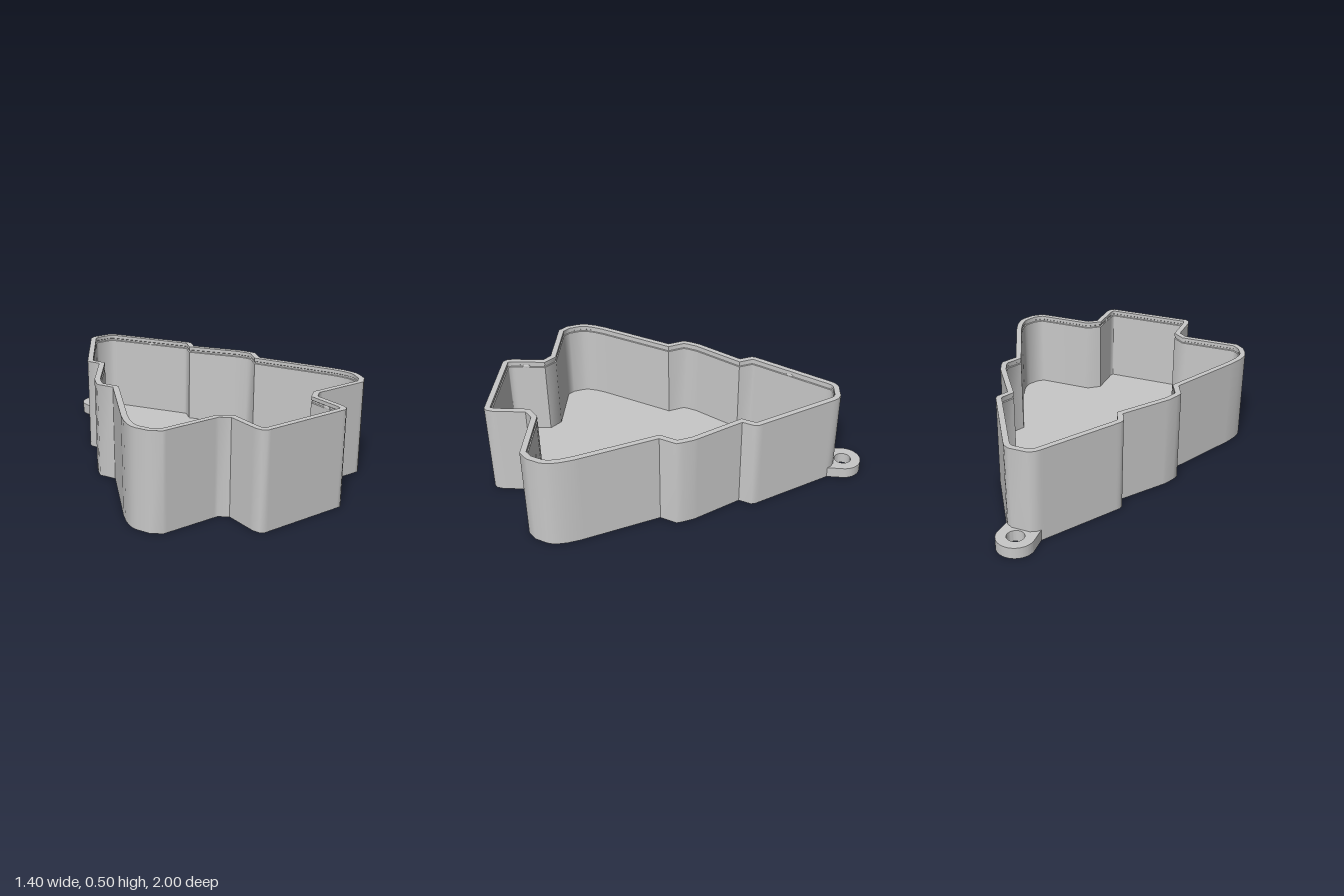
import * as THREE from 'three';
import { mergeGeometries, toCreasedNormals } from 'three/addons/utils/BufferGeometryUtils.js';

const HEIGHT = 0.5, FLOOR = 0.06, WALL = 0.03, CREASE = 0.8;

// Right half of the tree outline, trunk to tip, as [x, -z]
const HALF = [
  [0.238, -1], [0.257, -0.986], [0.267, -0.95], [0.267, -0.78], [0.312, -0.744],
  [0.62, -0.744], [0.668, -0.703], [0.696, -0.64], [0.702, -0.61], [0.70, -0.58], [0.69, -0.535], [0.667, -0.475],
  [0.477, -0.085], [0.517, 0], [0.506, 0.035], [0.482, 0.09],
  [0.319, 0.323], [0.347, 0.388], [0.341, 0.412],
  [0.096, 0.805], [0.079, 0.828], [0.048, 0.845],
];
const CORNERS = [
  ...HALF,
  ...HALF.slice().reverse().map(([x, y]) => [-x, y]),
].map(([x, y]) => new THREE.Vector2(x, y));

// Extra points near the ends of long sides keep those sides evenly flat
const OUTLINE = CORNERS.flatMap((p, i) => {
  const q = CORNERS[(i + 1) % CORNERS.length];
  const f = 0.02 / p.distanceTo(q);
  return f < 0.2 ? [p, p.clone().lerp(q, f), p.clone().lerp(q, 1 - f)] : [p];
});

// Outline moved inward by t with mitred corners
function inset(t) {
  const n = OUTLINE.length;
  return OUTLINE.map((p, i) => {
    const a = p.clone().sub(OUTLINE[(i + n - 1) % n]).normalize();
    const b = OUTLINE[(i + 1) % n].clone().sub(p).normalize();
    const k = t / (1 + a.dot(b));
    return new THREE.Vector2(p.x - (a.y + b.y) * k, p.y + (a.x + b.x) * k);
  });
}

// Flat tree-shaped face at height y
function plate(points, y, down) {
  const g = new THREE.ShapeGeometry(new THREE.Shape(points));
  g.rotateX(-Math.PI / 2);
  if (down) g.index.array.reverse();
  g.translate(0, y, 0);
  const flat = g.toNonIndexed();
  flat.deleteAttribute('uv');
  flat.deleteAttribute('normal');
  return flat;
}

// Wall skin swept through [inset, height] steps
function skin(steps) {
  const rings = steps.map(([t, y]) => inset(t).map((p) => [p.x, y, -p.y]));
  const pos = [];
  for (let r = 0; r < rings.length - 1; r++) {
    const lo = rings[r], hi = rings[r + 1];
    for (let i = 0; i < lo.length; i++) {
      const j = (i + 1) % lo.length;
      pos.push(...lo[i], ...lo[j], ...hi[j], ...lo[i], ...hi[j], ...hi[i]);
    }
  }
  const g = new THREE.BufferGeometry();
  g.setAttribute('position', new THREE.Float32BufferAttribute(pos, 3));
  return g;
}

export function createModel() {
  const group = new THREE.Group();
  const grey = new THREE.MeshStandardMaterial({ color: 0xc8c8c8 });
  grey.name = 'light grey plastic';

  const add = (name, geometry) => {
    const mesh = new THREE.Mesh(geometry, grey);
    mesh.name = name;
    group.add(mesh);
    return mesh;
  };

  // Open tray with a fine snap groove just under the rim
  const tray = mergeGeometries([
    plate(OUTLINE, 0, true),
    skin([
      [0, 0], [0, HEIGHT], [WALL, HEIGHT], [WALL, 0.482], [0.025, 0.479],
      [0.025, 0.47], [WALL, 0.467], [WALL, FLOOR],
    ]),
    plate(inset(WALL), FLOOR, false),
  ]);
  add('tray', toCreasedNormals(tray, CREASE));

  // Hanging loop behind the tip
  const loop = new THREE.Shape();
  loop.moveTo(-0.092, 0.807);
  loop.lineTo(0, 0.83);
  loop.lineTo(0.092, 0.807);
  loop.lineTo(0.098, 0.902);
  loop.absarc(0, 0.902, 0.098, 0, Math.PI, false);
  loop.closePath();
  const hole = new THREE.Path();
  hole.absarc(0, 0.902, 0.045, 0, Math.PI * 2, true);
  loop.holes.push(hole);
  const loopGeometry = new THREE.ExtrudeGeometry(loop, { depth: FLOOR, bevelEnabled: false, curveSegments: 24 });
  loopGeometry.rotateX(-Math.PI / 2);
  add('hangingLoop', toCreasedNormals(loopGeometry, CREASE));

  // Small snap bumps set in the groove of the trunk and top tier
  const bump = new THREE.SphereGeometry(1, 16, 8);
  for (const side of [-1, 1]) {
    for (const [x, z, turn] of [[0.241, 0.87, 0], [0.199, -0.594, 0.557]]) {
      const mesh = add('snapBump', bump);
      mesh.position.set(side * x, 0.47, z);
      mesh.rotation.y = side * turn;
      mesh.scale.set(0.005, 0.012, 0.022);
    }
  }
  return group;
}
